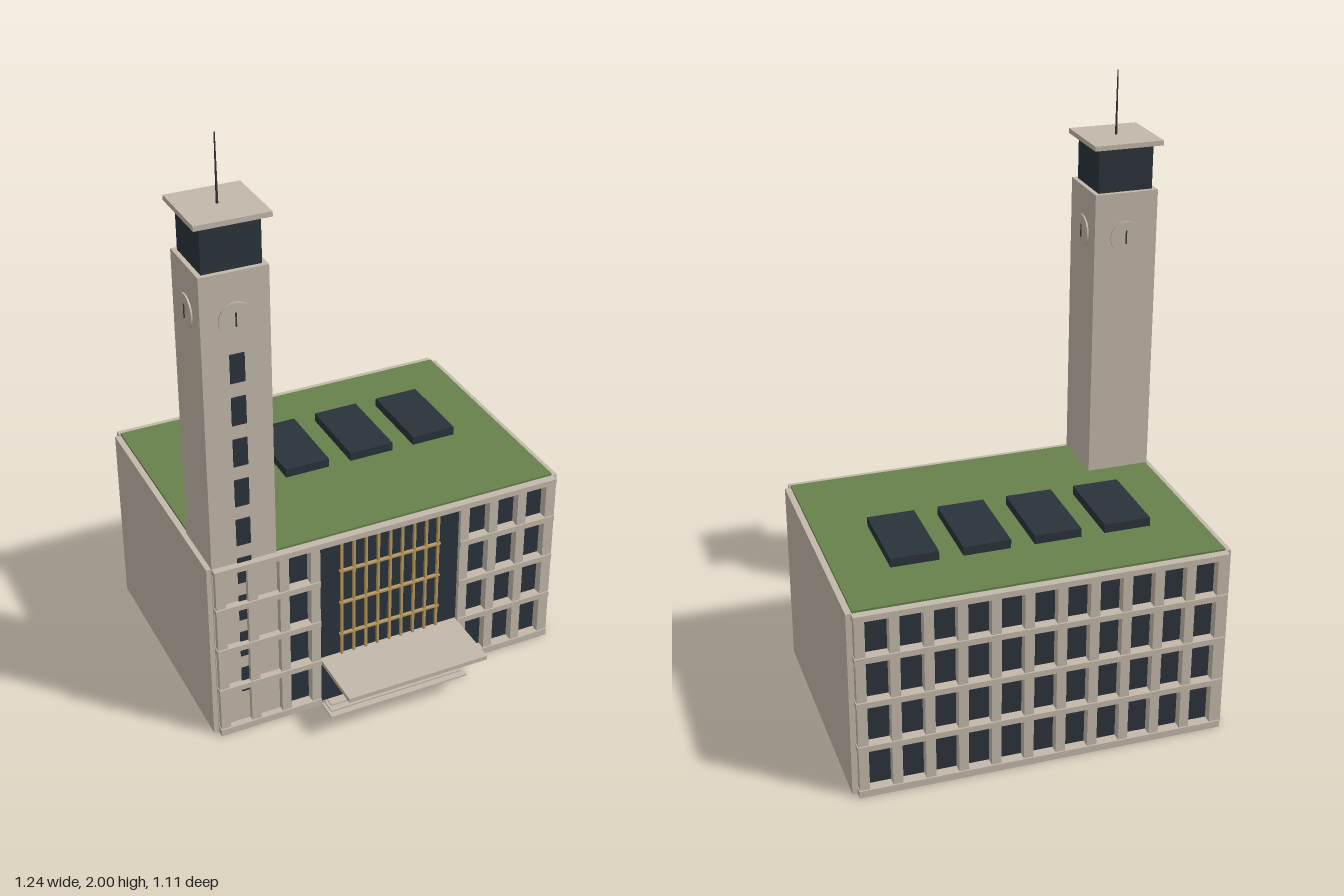
import * as THREE from 'three';

const mat = (name, color) => {
  const m = new THREE.MeshStandardMaterial({ color });
  m.name = name;
  return m;
};

export function createModel() {
  const stone = mat('stone', 0xc3b9ab);
  const glass = mat('darkGlass', 0x2b333b);
  const grass = mat('greenRoof', 0x66814c);
  const brass = mat('brass', 0xb8995f);
  const metal = mat('darkMetal', 0x3a3a3a);

  const model = new THREE.Group();
  model.name = 'towerBuilding';

  // Box given by its extents along each axis
  const box = (parent, name, material, [x0, x1], [y0, y1], [z0, z1]) => {
    const mesh = new THREE.Mesh(new THREE.BoxGeometry(x1 - x0, y1 - y0, z1 - z0), material);
    mesh.position.set((x0 + x1) / 2, (y0 + y1) / 2, (z0 + z1) / 2);
    mesh.name = name;
    parent.add(mesh);
    return mesh;
  };
  const group = (name, parent = model) => {
    const g = new THREE.Group();
    g.name = name;
    parent.add(g);
    return g;
  };

  // Main block: glazed core, solid side walls, planted roof
  box(model, 'glazedCore', glass, [-0.6, 0.6], [0.002, 0.638], [-0.522, 0.312]);
  for (const s of [-1, 1]) {
    const x = [s * 0.6, s * 0.62].sort((a, b) => a - b);
    box(model, 'sideWall', stone, x, [0, 0.643], [-0.53, 0.32]);
  }
  box(model, 'greenRoof', grass, [-0.6, 0.6], [0.638, 0.651], [-0.53, 0.32]);

  // Roof skylights
  for (let i = 0; i < 4; i++) {
    const x = -0.356 + i * 0.2345;
    box(model, 'skylight', glass, [x - 0.078, x + 0.078], [0.65, 0.681], [-0.318, -0.034]);
  }

  // Facade grids: eleven bays by four floors; the front leaves the middle open
  const floors = [0.012, 0.175, 0.332, 0.489, 0.634];
  const facade = (name, z0, out, hasPortal) => {
    const g = group(name);
    const depth = (d) => [z0 - out * 0.01, z0 + out * d].sort((a, b) => a - b);
    for (let i = 0; i < 12; i++) {
      const x = -0.585 + (i * 1.17) / 11;
      if (hasPortal && Math.abs(x) < 0.25) continue;
      box(g, 'pilaster', stone, [x - 0.016, x + 0.016], [0, 0.643], depth(0.022));
    }
    floors.forEach((y, i) => {
      const h = i === 0 ? 0.012 : 0.01;
      const spans = hasPortal && i < 4 ? [[-0.604, -0.25], [0.25, 0.604]] : [[-0.604, 0.604]];
      spans.forEach((s) => box(g, 'floorBand', stone, s, [y - h, y + h], depth(0.027)));
    });
  };
  facade('frontFacade', 0.32, 1, true);
  facade('backFacade', -0.53, -1, false);

  // Entrance: tall glazing, brass grille, canopy and steps
  const entrance = group('entrance');
  box(entrance, 'portalGlass', glass, [-0.25, 0.25], [0, 0.624], [0.31, 0.328]);
  for (let i = 0; i < 9; i++) {
    const x = (i - 4) * 0.043;
    box(entrance, 'grilleBar', brass, [x - 0.004, x + 0.004], [0.02, 0.624], [0.328, 0.338]);
  }
  for (const y of [0.135, 0.26, 0.385, 0.51]) {
    box(entrance, 'grilleRail', brass, [-0.18, 0.18], [y - 0.003, y + 0.003], [0.328, 0.34]);
  }
  box(entrance, 'canopy', stone, [-0.248, 0.248], [0.165, 0.18], [0.325, 0.55]);
  for (let i = 0; i < 3; i++) {
    const w = 0.25 - i * 0.01;
    box(entrance, 'step', stone, [-w, w], [i * 0.005, i * 0.005 + 0.005], [0.345, 0.42 - i * 0.022]);
  }

  // Corner tower, built around its own axis
  const tower = group('tower');
  tower.position.set(-0.497, 0, 0.217);
  box(tower, 'shaft', stone, [-0.107, 0.107], [0, 1.628], [-0.107, 0.107]);
  for (let i = 0; i < 9; i++) {
    const y = 0.188 + i * 0.1417;
    box(tower, 'slitWindow', glass, [-0.023, 0.023], [y - 0.047, y + 0.047], [0.104, 0.111]);
  }
  box(tower, 'belfry', glass, [-0.092, 0.092], [1.628, 1.775], [-0.092, 0.092]);
  box(tower, 'cap', stone, [-0.117, 0.117], [1.775, 1.791], [-0.117, 0.117]);

  // A clock on each tower face
  for (let i = 0; i < 4; i++) {
    const clock = group('clock', tower);
    clock.position.y = 1.48;
    clock.rotation.y = (i * Math.PI) / 2;
    const dial = new THREE.Mesh(new THREE.CylinderGeometry(0.053, 0.053, 0.008, 32), stone);
    dial.name = 'clockDial';
    dial.rotation.x = Math.PI / 2;
    dial.position.z = 0.108;
    clock.add(dial);
    box(clock, 'clockHand', metal, [-0.002, 0.002], [-0.022, 0.022], [0.11, 0.115]);
  }

  // Antenna
  const antenna = new THREE.Mesh(new THREE.CylinderGeometry(0.002, 0.004, 0.21, 8), metal);
  antenna.name = 'antenna';
  antenna.position.y = 1.895;
  tower.add(antenna);

  return model;
}
